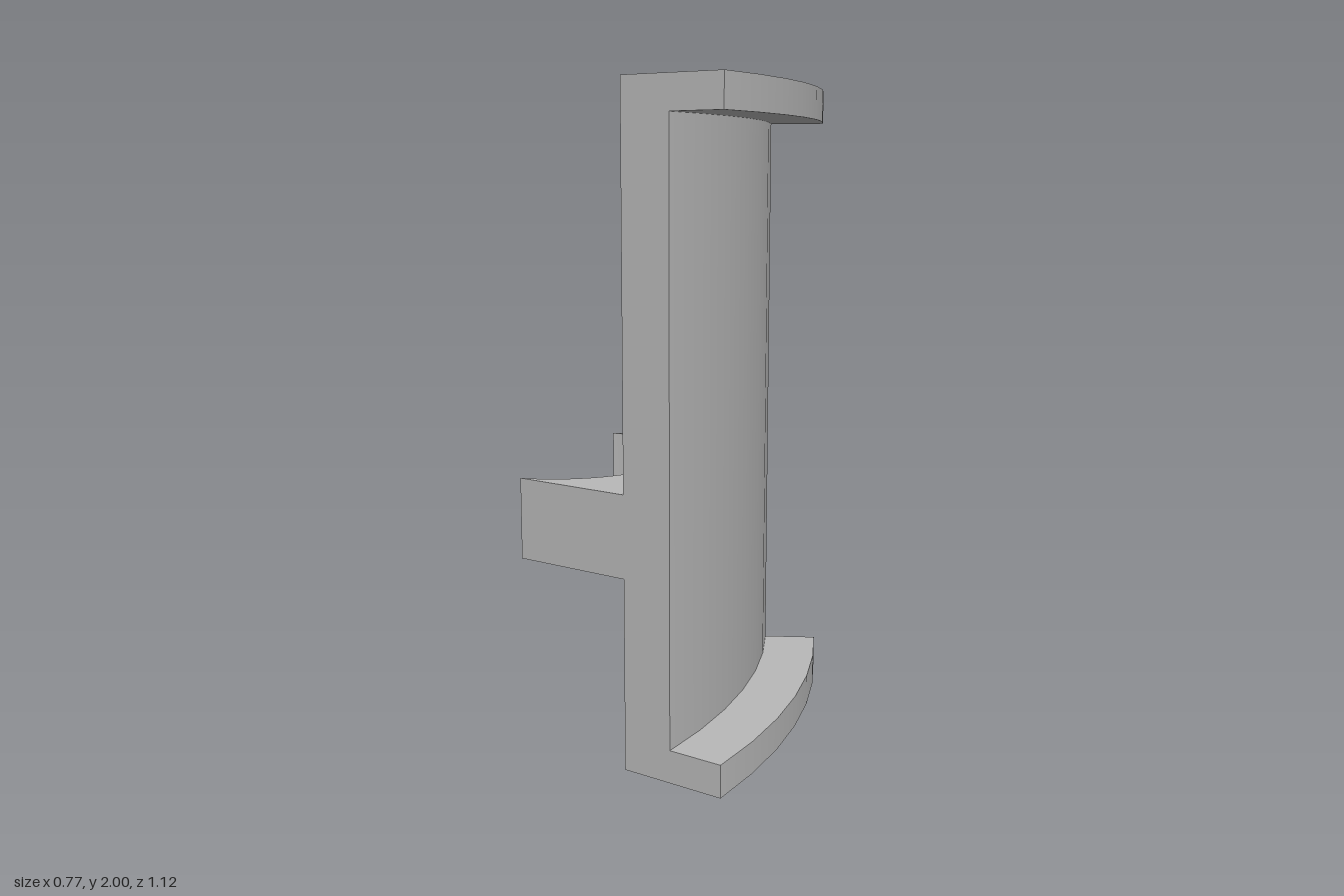
import * as THREE from 'three';
import { mergeGeometries, toCreasedNormals } from 'three/addons/utils/BufferGeometryUtils.js';

const AXIS_X = -1.78;            // vertical axis the channel curves around
const HALF = Math.PI / 12;       // half of the 30 degree sweep
const STEPS = 6;
const R_IN = 1.83, R_WEB = 1.99, R_OUT = 2.163;
const FLANGE = 0.1, HEIGHT = 2;

// Sweeps a closed (radius, y) outline around the axis, with crisp edges and end caps
function sweptChannel(outline) {
  const parts = outline.map((p, i) => new THREE.LatheGeometry(
    [p, outline[(i + 1) % outline.length]], STEPS, Math.PI / 2 - HALF, HALF * 2));
  const frontCap = new THREE.ShapeGeometry(new THREE.Shape(outline));
  frontCap.rotateY(-HALF);
  const mirrored = outline.map(p => new THREE.Vector2(-p.x, p.y)).reverse();
  const backCap = new THREE.ShapeGeometry(new THREE.Shape(mirrored));
  backCap.rotateY(Math.PI + HALF);
  return mergeGeometries([...parts, frontCap, backCap]).translate(AXIS_X, 0, 0);
}

// Bracket plate: outer arc meets the web, half-round notch on the other side
function bracket() {
  const pts = [];
  for (let i = 0; i <= STEPS; i++) {
    const a = -HALF + (2 * HALF * i) / STEPS;
    pts.push(new THREE.Vector2(AXIS_X + R_IN * Math.cos(a), R_IN * Math.sin(a)));
  }
  const notchX = -0.406, notchR = 0.375, end = 1.509, n = 32;
  for (let i = 0; i <= n; i++) {
    const a = end - (2 * end * i) / n;
    pts.push(new THREE.Vector2(notchX + notchR * Math.cos(a), notchR * Math.sin(a)));
  }
  const geo = new THREE.ExtrudeGeometry(new THREE.Shape(pts), { depth: 0.25, bevelEnabled: false });
  geo.rotateX(-Math.PI / 2).translate(0, 0.585, 0);
  return toCreasedNormals(geo, 0.4);
}

export function createModel() {
  const group = new THREE.Group();
  group.name = 'curvedChannelWithBracket';
  const grey = new THREE.MeshStandardMaterial({ color: 0xb8b8b8 });
  grey.name = 'grey';

  // C-shaped section: web with a flange at the top and bottom
  const outline = [
    [R_IN, 0], [R_OUT, 0], [R_OUT, FLANGE], [R_WEB, FLANGE],
    [R_WEB, HEIGHT - FLANGE], [R_OUT, HEIGHT - FLANGE], [R_OUT, HEIGHT], [R_IN, HEIGHT],
  ].map(([r, y]) => new THREE.Vector2(r, y));

  const channel = new THREE.Mesh(sweptChannel(outline), grey);
  channel.name = 'curvedChannel';
  const plate = new THREE.Mesh(bracket(), grey);
  plate.name = 'notchedBracket';
  group.add(channel, plate);
  return group;
}
